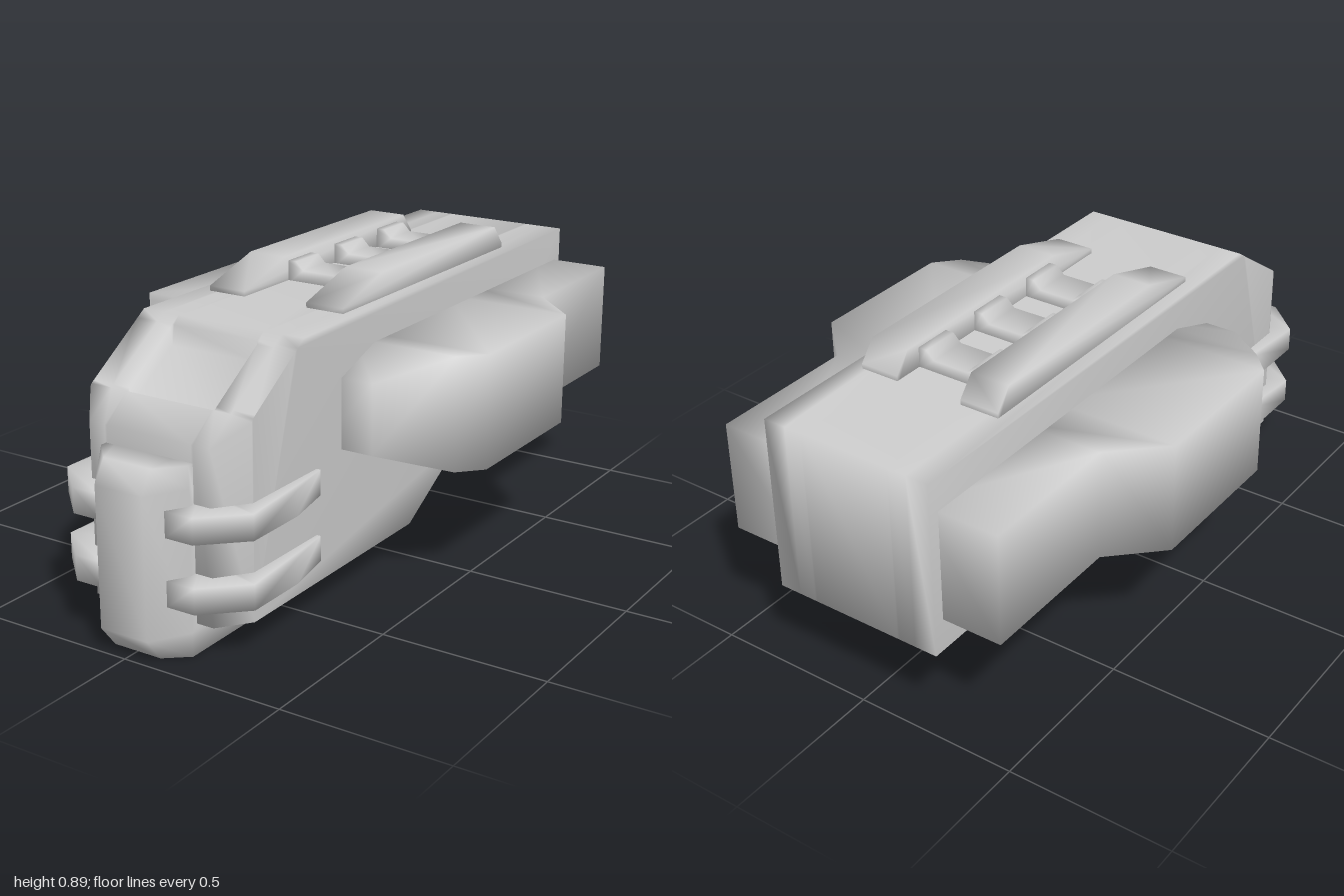
import * as THREE from 'three';

const material = new THREE.MeshStandardMaterial({ color: 0xcccccc });

// Joins equal-length rings of [x, y, z] points into a closed, smooth solid.
// axis is the direction (0 = x, 1 = y, 2 = z) in which the rings follow each other.
function loft(name, rings, axis) {
  const n = rings[0].length;
  const points = rings.flat();
  const faces = [];
  for (let r = 0; r < rings.length - 1; r++) {
    for (let i = 0; i < n; i++) {
      const a = r * n + i, b = r * n + (i + 1) % n;
      faces.push([a, b, b + n], [a, b + n, a + n]);
    }
  }
  // end caps
  const [u, v] = [0, 1, 2].filter((k) => k !== axis);
  [0, rings.length - 1].forEach((r) => {
    const flat = rings[r].map((p) => new THREE.Vector2(p[u], p[v]));
    const clockwise = THREE.ShapeUtils.isClockWise(flat);
    const first = rings[0].map((p) => new THREE.Vector2(p[u], p[v]));
    const tris = THREE.ShapeUtils.triangulateShape(flat, []);
    tris.forEach((t) => {
      const area = THREE.ShapeUtils.area(t.map((i) => flat[i]));
      // follow the winding of the ring, reversed on the first cap
      let f = t.map((i) => i + r * n);
      if ((area < 0) !== clockwise) f = f.reverse();
      if (r === 0) f = f.reverse();
      faces.push(f);
    });
  });
  // turn the solid right side out
  const V = points.map((p) => new THREE.Vector3(...p));
  let volume = 0;
  faces.forEach(([a, b, c]) => { volume += V[a].dot(V[b].clone().cross(V[c])); });
  if (volume < 0) faces.forEach((f) => f.reverse());

  const geometry = new THREE.BufferGeometry();
  geometry.setAttribute('position', new THREE.Float32BufferAttribute(points.flat(), 3));
  geometry.setIndex(faces.flat());
  geometry.computeVertexNormals();
  const mesh = new THREE.Mesh(geometry, material);
  mesh.name = name;
  return mesh;
}

// Places a side profile of [z, y] points at a given x.
const sideRing = (x, profile) => profile.map(([z, y]) => [x, y, z]);

function createBody() {
  // the fourth and fifth points sink inside the window
  const profile = (sink, blunt) => [
    [-1, 0.82], [0.54, 0.82], [0.57, 0.8],
    [0.58, 0.793 - sink], [0.765, 0.67 - sink], [0.775, 0.663],
    blunt ? [0.78, 0.655] : [0.87, 0.595],
    [blunt ? 0.78 : 0.87, 0.09],
    [-0.03, 0.09], [-0.36, 0.28], [-1, 0.28],
  ];
  const stations = [[-0.27, 0, true], [-0.2, 0], [-0.147, 0], [-0.14, 0.05],
    [0.14, 0.05], [0.147, 0], [0.2, 0], [0.27, 0, true]];
  return loft('body', stations.map(([x, sink, blunt]) => sideRing(x, profile(sink, blunt))), 0);
}

function createNoseKeel() {
  const profile = [[0.8, 0.545], [0.96, 0.545], [1, 0.48], [1, 0.07], [0.945, 0.0],
    [0.36, 0.0], [0.22, 0.07], [0.22, 0.15], [0.8, 0.15]];
  const blunt = profile.map(([z, y]) => [Math.min(z, 0.89), y]);
  return loft('noseKeel', [sideRing(-0.145, blunt), sideRing(-0.078, profile),
    sideRing(0.078, profile), sideRing(0.145, blunt)], 0);
}

function createPod(side) {
  // z, outer x, bottom y, top y
  const stations = [[0.355, 0.37, 0.45, 0.66], [0.18, 0.535, 0.38, 0.72], [0.11, 0.6, 0.38, 0.72],
    [-0.37, 0.6, 0.38, 0.72], [-0.51, 0.455, 0.38, 0.72], [-0.965, 0.455, 0.38, 0.72]];
  return loft('sidePod', stations.map(([z, x, y0, y1]) =>
    [[0.2 * side, y0, z], [x * side, y0, z], [x * side, y1, z], [0.2 * side, y1, z]]), 2);
}

function createClamp(side, y) {
  const plan = [[0.11, 0.95], [0.2, 0.95], [0.315, 0.84], [0.315, 0.64],
    [0.283, 0.48], [0.2, 0.48], [0.2, 0.8], [0.11, 0.8]];
  return loft('noseClamp', [y, y + 0.075].map((h) => plan.map(([x, z]) => [x * side, h, z])), 1);
}

function createRail(side) {
  const profile = [[0.285, 0.8], [0.285, 0.835], [0.08, 0.895], [-0.605, 0.895],
    [-0.655, 0.835], [-0.655, 0.8]];
  return loft('roofRail', [0.107, 0.23].map((x) => sideRing(x * side, profile)), 0);
}

function createCrossbar(z) {
  const half = [[0.055, 0.855], [0.08, 0.88], [0.12, 0.88], [0.12, 0.8]];
  const outline = [...half, ...half.map(([x, y]) => [-x, y]).reverse()];
  return loft('roofCrossbar', [z - 0.06, z + 0.06].map((d) => outline.map(([x, y]) => [x, y, d])), 2);
}

export function createModel() {
  const model = new THREE.Group();
  model.name = 'vehicle';
  model.add(createBody(), createNoseKeel());
  for (const side of [-1, 1]) {
    model.add(createPod(side), createRail(side));
    for (const y of [0.16, 0.357]) model.add(createClamp(side, y));
  }
  for (const z of [-0.5, -0.25, 0]) model.add(createCrossbar(z));
  return model;
}
